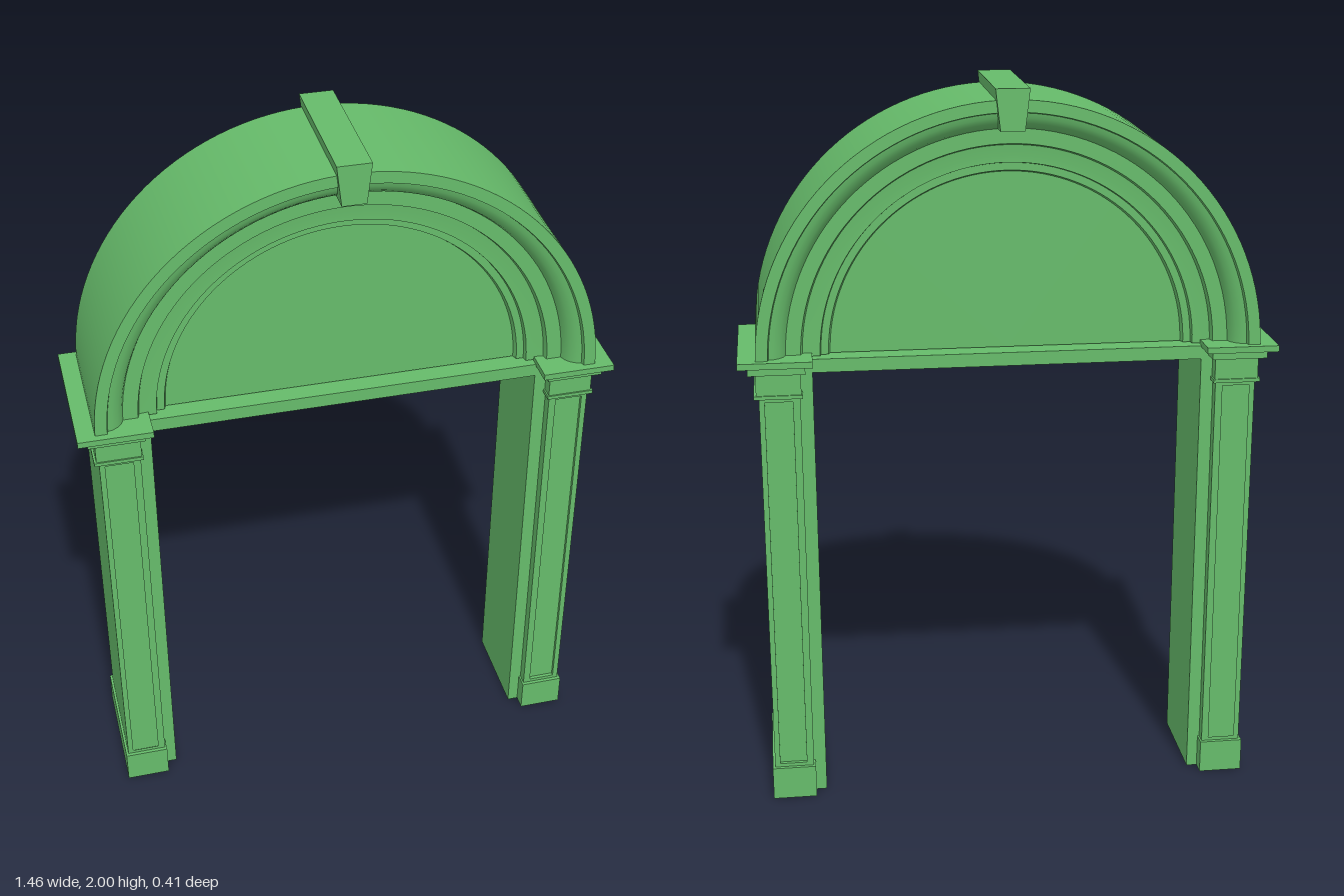
import * as THREE from 'three';
import { toCreasedNormals } from 'three/addons/utils/BufferGeometryUtils.js';

const material = new THREE.MeshStandardMaterial({ color: 0x66bb6a });
const SPRING = 1.29; // height of the arch centre

function add(parent, name, geometry) {
  const mesh = new THREE.Mesh(geometry, material);
  mesh.name = name;
  parent.add(mesh);
  return mesh;
}

// Box given by its limits, symmetric in z
function block(parent, name, x0, x1, y0, y1, halfDepth) {
  const g = new THREE.BoxGeometry(x1 - x0, y1 - y0, halfDepth * 2);
  g.translate((x0 + x1) / 2, (y0 + y1) / 2, 0);
  return add(parent, name, g);
}

// One leg, placed on the side given by s (+1 or -1)
function makeLeg(s) {
  const leg = new THREE.Group();
  leg.name = s > 0 ? 'leftLeg' : 'rightLeg';
  const part = (name, a, b, y0, y1, d) =>
    block(leg, name, Math.min(a * s, b * s), Math.max(a * s, b * s), y0, y1, d);

  part('jamb', 0.53, 0.6, 0, SPRING, 0.135);
  part('pilasterCore', 0.565, 0.675, 0, 1.27, 0.155);
  part('plinth', 0.56, 0.682, 0, 0.095, 0.175);
  part('neckBand', 0.558, 0.688, 1.19, 1.2, 0.173);
  part('capital', 0.562, 0.682, 1.2, 1.26, 0.169);
  part('capitalStep', 0.55, 0.702, 1.26, 1.285, 0.186);
  part('cornice', 0.53, 0.728, 1.283, 1.3, 0.207);

  // Raised frames around the sunken panels, front and back
  const frame = new THREE.Shape([[0.565, 0.09], [0.675, 0.09], [0.675, 1.2], [0.565, 1.2]]
    .map(([x, y]) => new THREE.Vector2(x * s, y)));
  frame.holes.push(new THREE.Path([[0.585, 0.105], [0.66, 0.105], [0.66, 1.18], [0.585, 1.18]]
    .map(([x, y]) => new THREE.Vector2(x * s, y))));
  for (const z of [0.15, -0.165]) {
    const g = new THREE.ExtrudeGeometry(frame, { depth: 0.015, bevelEnabled: false });
    add(leg, 'pilasterFrame', g.translate(0, 0, z));
  }
  return leg;
}

export function createModel() {
  const model = new THREE.Group();
  model.name = 'archway';
  model.add(makeLeg(1), makeLeg(-1));
  block(model, 'lintel', -0.535, 0.535, 1.25, SPRING - 0.003, 0.135);

  // Arch moulding: radius and depth from inner step to outer rim, mirrored in depth
  const half = [
    [0.48, 0.085], [0.485, 0.1], [0.505, 0.1], [0.508, 0.115], [0.525, 0.115],
    [0.555, 0.118], [0.56, 0.135], [0.6, 0.135], [0.606, 0.15], [0.617, 0.163],
    [0.632, 0.172], [0.645, 0.175], [0.648, 0.187], [0.68, 0.187],
  ];
  const profile = [
    ...half.map(([r, z]) => new THREE.Vector2(r, -z)),
    ...half.slice().reverse().map(([r, z]) => new THREE.Vector2(r, z)),
  ];
  const ring = new THREE.LatheGeometry(profile, 64, -Math.PI / 2, Math.PI);
  ring.rotateX(-Math.PI / 2).translate(0, SPRING, 0);
  add(model, 'archMoulding', toCreasedNormals(ring, 0.5));

  // Flat panel filling the arch
  const panel = new THREE.CylinderGeometry(0.485, 0.485, 0.17, 64, 1, false, -Math.PI / 2, Math.PI);
  panel.rotateX(-Math.PI / 2).translate(0, SPRING, 0);
  add(model, 'tympanum', panel);

  // Tapered keystone running through the whole depth
  const key = new THREE.Shape([
    new THREE.Vector2(-0.032, 1.89), new THREE.Vector2(0.032, 1.89),
    new THREE.Vector2(0.045, 2), new THREE.Vector2(-0.045, 2),
  ]);
  const keyGeometry = new THREE.ExtrudeGeometry(key, { depth: 0.4, bevelEnabled: false });
  add(model, 'keystone', keyGeometry.translate(0, 0, -0.2));

  return model;
}
